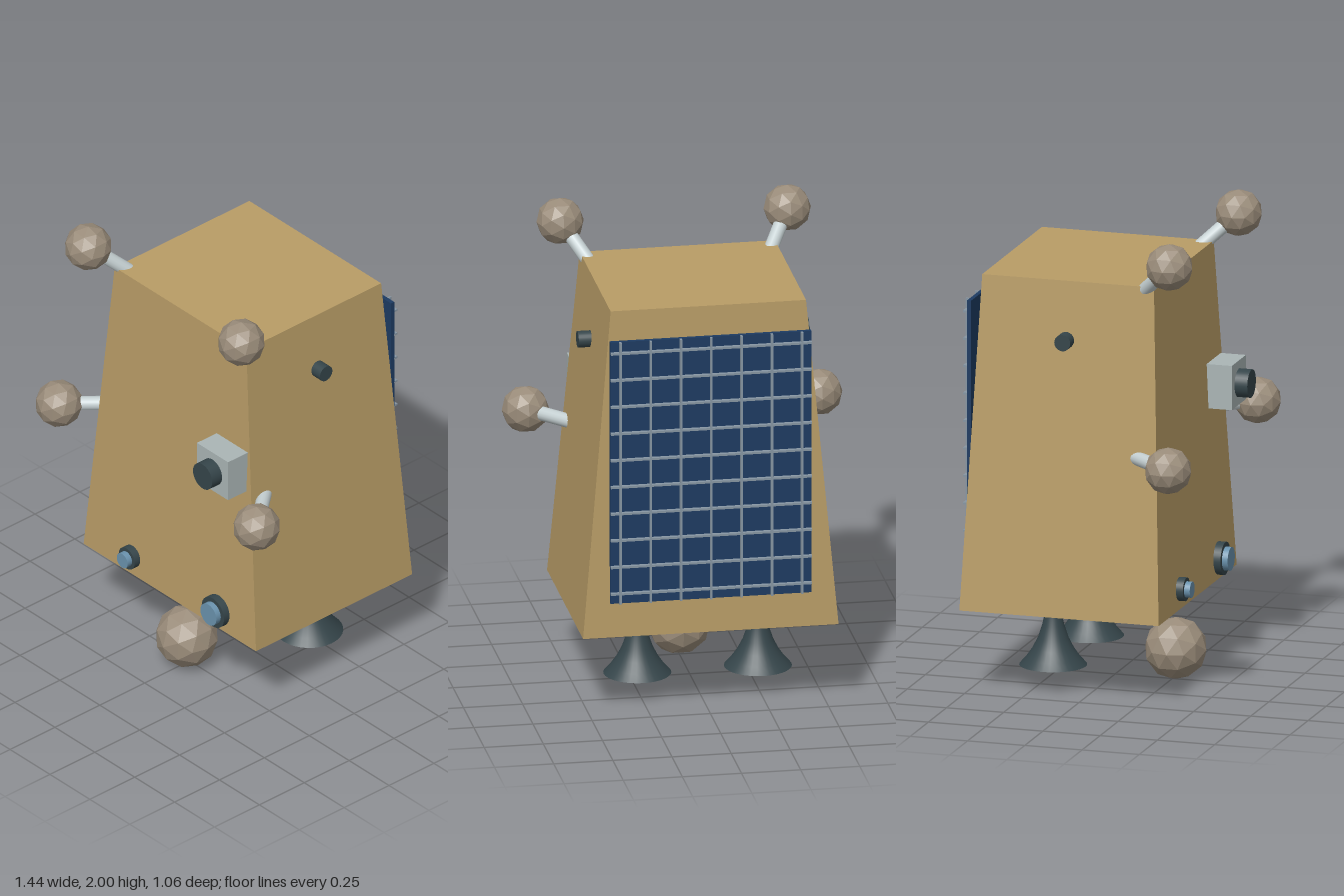
import * as THREE from 'three';

const mat = (color, opts = {}) => new THREE.MeshStandardMaterial({ color, ...opts });

export function createModel() {
  const model = new THREE.Group();
  const foil = mat(0xb89c66, { flatShading: true });
  const tank = mat(0x9a8c7a, { flatShading: true });
  const metal = mat(0xc4cfd1);
  const dark = mat(0x35454a);
  const bellMat = mat(0x35454a, { side: THREE.DoubleSide });
  const casing = mat(0xaab5b5);
  const glass = mat(0x6a92ad);
  const cells = mat(0x1d3b62);
  const wire = mat(0x8796a3);

  const add = (name, geometry, material, x = 0, y = 0, z = 0) => {
    const mesh = new THREE.Mesh(geometry, material);
    mesh.name = name;
    mesh.position.set(x, y, z);
    model.add(mesh);
    return mesh;
  };
  const box = (name, m, w, h, d, x, y, z) => add(name, new THREE.BoxGeometry(w, h, d), m, x, y, z);
  // Cylinder between two points
  const rod = (name, m, r, a, b, sides = 24) => {
    const from = new THREE.Vector3(...a), to = new THREE.Vector3(...b);
    const dir = to.clone().sub(from);
    const mesh = add(name, new THREE.CylinderGeometry(r, r, dir.length(), sides), m);
    mesh.position.copy(from).add(to).multiplyScalar(0.5);
    mesh.quaternion.setFromUnitVectors(new THREE.Vector3(0, 1, 0), dir.normalize());
    return mesh;
  };

  // Tapered body: bottom and top rectangles differ
  const bodyGeo = new THREE.BoxGeometry(2, 2, 2);
  const p = bodyGeo.attributes.position;
  for (let i = 0; i < p.count; i++) {
    const top = p.getY(i) > 0, front = p.getZ(i) > 0;
    p.setXYZ(i, p.getX(i) * (top ? 0.413 : 0.54), top ? 1.79 : 0.37,
      front ? (top ? 0.3 : 0.36) : (top ? -0.45 : -0.51));
  }
  bodyGeo.computeVertexNormals();
  add('body', bodyGeo, foil);

  // Faceted balls on struts
  const ball = (name, r, start, end) => {
    rod(name + 'Strut', metal, 0.03, start, end, 16);
    add(name, new THREE.IcosahedronGeometry(r, 1), tank, ...end);
  };
  for (const s of [1, -1]) {
    const side = s > 0 ? 'left' : 'right';
    ball(side + 'UpperBall', 0.1, [s * 0.365, 1.74, 0.22], [s * 0.48, 1.9, 0.388]);
    ball(side + 'MiddleBall', 0.1, [s * 0.45, 1.063, 0.23], [s * 0.62, 1.063, 0.427]);

    // Side thruster
    rod(side + 'Thruster', dark, 0.035, [s * 0.43, 1.54, -0.077], [s * 0.488, 1.54, -0.077]);

    // Engine collar and flared bell
    rod(side + 'EngineCollar', foil, 0.04, [s * 0.255, 0.32, -0.19], [s * 0.255, 0.39, -0.19]);
    const profile = [[0.142, 0.095], [0.115, 0.125], [0.087, 0.165], [0.064, 0.21],
      [0.046, 0.265], [0.036, 0.31], [0.032, 0.335]].map(q => new THREE.Vector2(...q));
    add(side + 'EngineBell', new THREE.LatheGeometry(profile, 32), bellMat, s * 0.255, 0, -0.19);
  }
  ball('lowerBall', 0.133, [0, 0.42, 0.07], [0, 0.137, 0.265]);

  // Round sensors low on the front
  for (const [name, x, r, lens] of [['smallSensor', -0.24, 0.05, 0.034], ['largeSensor', 0.3, 0.07, 0.05]]) {
    rod(name, dark, r, [x, 0.457, 0.33], [x, 0.457, 0.387], 32);
    rod(name + 'Lens', glass, lens, [x, 0.457, 0.38], [x, 0.457, 0.412], 32);
  }

  // Camera box
  box('cameraBox', casing, 0.195, 0.19, 0.115, 0.347, 1.205, 0.373);
  rod('cameraLens', dark, 0.06, [0.347, 1.205, 0.42], [0.347, 1.205, 0.486], 32);

  // Solar panel with raised grid
  box('solarPanel', cells, 0.85, 1.155, 0.018, 0, 1.097, -0.504);
  for (let i = -3; i <= 3; i++) {
    box('panelColumnWire', wire, 0.009, 1.155, 0.018, i * 0.128, 1.097, -0.521);
  }
  for (let i = 0; i < 10; i++) {
    box('panelRowWire', wire, 0.85, 0.009, 0.018, 0, 0.565 + i * 0.118, -0.521);
  }
  return model;
}
